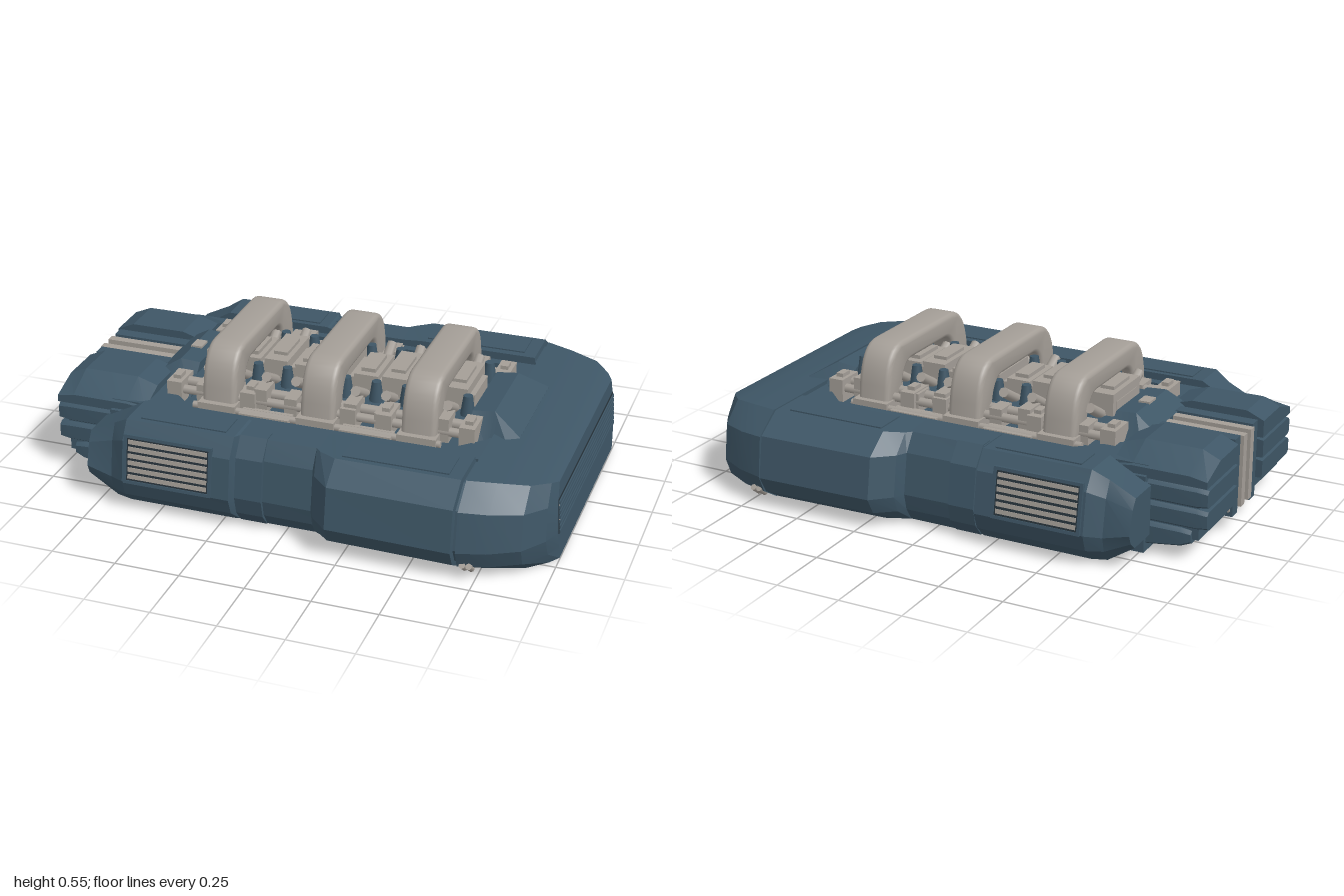
import * as THREE from 'three';
import { toCreasedNormals } from 'three/addons/utils/BufferGeometryUtils.js';

const mat = (name, color) => {
  const m = new THREE.MeshStandardMaterial({ color });
  m.name = name;
  return m;
};

// Skin a row of equal-length rings; rings run y -> z and advance along +x
function loft(rings) {
  const pos = [];
  const tri = (a, b, c) => pos.push(...a, ...b, ...c);
  const n = rings[0].length;
  for (let i = 0; i < rings.length - 1; i++) {
    for (let j = 0; j < n; j++) {
      const k = (j + 1) % n, a = rings[i], b = rings[i + 1];
      tri(a[j], a[k], b[k]);
      tri(a[j], b[k], b[j]);
    }
  }
  const first = rings[0], last = rings[rings.length - 1];
  for (let j = 1; j < n - 1; j++) {
    tri(first[0], first[j + 1], first[j]);
    tri(last[0], last[j], last[j + 1]);
  }
  const g = new THREE.BufferGeometry();
  g.setAttribute('position', new THREE.Float32BufferAttribute(pos, 3));
  return toCreasedNormals(g, 0.25);
}

// Ring from [z, y] points listed from the bottom outwards and up, on either side
const sideRing = (x, pts, s) => {
  const r = pts.map(([z, y]) => [x, y, z * s]);
  return s > 0 ? r.reverse() : r;
};

export function createModel() {
  const root = new THREE.Group();
  const blue = mat('blue armour', 0x3e5666);
  const grey = mat('warm grey metal', 0xa49e97);
  const dark = mat('dark recess', 0x28343c);

  const add = (name, geo, m, parent = root) => {
    const mesh = new THREE.Mesh(geo, m);
    mesh.name = name;
    parent.add(mesh);
    return mesh;
  };
  // Box given by its extents
  const box = (name, m, x0, x1, y0, y1, z0, z1, parent) => {
    const b = add(name, new THREE.BoxGeometry(x1 - x0, y1 - y0, Math.abs(z1 - z0)), m, parent);
    b.position.set((x0 + x1) / 2, (y0 + y1) / 2, (z0 + z1) / 2);
    return b;
  };

  // Central hull and the rim around the engine bay
  box('hull', blue, -0.77, 0.7, 0.005, 0.3, -0.435, 0.435);
  const rim = new THREE.Shape([[-0.77, -0.41], [0.7, -0.41], [0.7, 0.41], [-0.77, 0.41]]
    .map(p => new THREE.Vector2(...p)));
  rim.holes.push(new THREE.Path([[-0.6, -0.25], [-0.6, 0.25], [-0.46, 0.375], [0.54, 0.375],
    [0.67, 0.25], [0.67, -0.25], [0.54, -0.375], [-0.46, -0.375]].map(p => new THREE.Vector2(...p))));
  const rimGeo = new THREE.ExtrudeGeometry(rim, { depth: 0.04, bevelEnabled: false });
  rimGeo.rotateX(-Math.PI / 2);
  add('bayRim', rimGeo, blue).position.y = 0.295;

  // Nose, tapered in plan, its front face leaning back
  const noseRing = ([x, w, yb, yt, c, lean]) => [
    [-w + c, yb], [-w + 0.03, yb + 0.05], [-w, yb + 0.12], [-w + 0.02, yt - 0.075], [-w + c + 0.01, yt],
    [w - c - 0.01, yt], [w - 0.02, yt - 0.075], [w, yb + 0.12], [w - 0.03, yb + 0.05], [w - c, yb],
  ].map(([z, y]) => [x - lean * y, y, z]);
  add('nose', loft([
    [0.685, 0.72, 0, 0.35, 0.11, 0], [0.79, 0.69, 0, 0.343, 0.11, 0], [0.9, 0.63, 0, 0.332, 0.09, 0],
    [0.97, 0.535, 0, 0.32, 0.06, 0.03], [1, 0.475, 0.005, 0.312, 0.035, 0.06],
  ].map(noseRing)), blue);

  // Nose grille, leaning with the face
  const noseGrille = new THREE.Group();
  noseGrille.name = 'noseGrille';
  noseGrille.position.set(0.989, 0.18, 0);
  noseGrille.rotation.z = 0.06;
  root.add(noseGrille);
  box('noseGrilleRecess', dark, -0.004, 0.002, -0.07, 0.07, -0.452, 0.452, noseGrille);
  for (let i = 0; i < 7; i++) {
    const y = -0.067 + i * 0.0195;
    box('noseGrilleSlat', blue, -0.002, 0.007, y, y + 0.012, -0.45, 0.45, noseGrille);
    if (i === 2 || i === 5) box('noseGrilleStrip', grey, -0.002, 0.004, y + 0.014, y + 0.018, -0.45, 0.45, noseGrille);
  }

  for (const s of [1, -1]) {
    // Side pod with a near-straight underside, stepping in at its front end behind the nose
    const podRing = ([x, zo, yb, yt, zb, zt]) => sideRing(x, [
      [0.43, yb], [zb, yb], [zo - (zo - zb) * 0.3, yb + (yt - yb) * 0.15], [zo, yb + (yt - yb) * 0.34],
      [zo - 0.025, yb + (yt - yb) * 0.8], [zt, yt], [0.43, yt],
    ], s);
    add('sidePod', loft([
      [-0.79, 0.61, 0.08, 0.27, 0.56, 0.56], [-0.69, 0.615, 0.015, 0.32, 0.565, 0.56],
      [-0.63, 0.65, 0.01, 0.355, 0.575, 0.58], [-0.2, 0.655, 0.01, 0.355, 0.575, 0.58],
      [-0.19, 0.615, 0.01, 0.35, 0.57, 0.55], [0.11, 0.62, 0.01, 0.35, 0.57, 0.55],
      [0.13, 0.66, 0.01, 0.35, 0.58, 0.57], [0.2, 0.73, 0.01, 0.355, 0.61, 0.61],
      [0.67, 0.735, 0.005, 0.355, 0.615, 0.61],
      [0.673, 0.71, 0.015, 0.335, 0.6, 0.59], [0.7, 0.71, 0.015, 0.335, 0.6, 0.59],
    ].map(podRing)), blue);
    // Raised band on the waist and thin panels on the pod top
    const band = [[0.5, 0.008], [0.572, 0.008], [0.615, 0.06], [0.632, 0.13], [0.608, 0.285], [0.552, 0.354], [0.5, 0.354]];
    add('waistBand', loft([sideRing(-0.185, band, s), sideRing(-0.08, band, s)]), blue);
    box('podTopPanel', blue, -0.58, -0.24, 0.35, 0.36, s * 0.45, s * 0.56);
    box('podTopPanel', blue, 0.22, 0.62, 0.35, 0.36, s * 0.46, s * 0.59);

    // Pod grille, tilted with the wall
    const grille = new THREE.Group();
    grille.name = 'podGrille';
    grille.position.set(-0.445, 0.222, s * 0.638);
    grille.rotation.x = -s * 0.16;
    root.add(grille);
    box('grilleRecess', dark, -0.165, 0.165, -0.085, 0.085, -0.004, 0.003, grille);
    for (let i = 0; i < 6; i++) {
      const y = -0.076 + i * 0.0272;
      box('grilleSlat', grey, -0.158, 0.158, y, y + 0.0165, -0.007, 0.007, grille);
    }
    for (const e of [-1, 1]) {
      box('grilleFrame', blue, -0.175, 0.175, e * 0.09 - 0.006, e * 0.09 + 0.006, -0.008, 0.008, grille);
      box('grilleFrame', blue, e * 0.17 - 0.006, e * 0.17 + 0.006, -0.09, 0.09, -0.008, 0.008, grille);
    }

    // Small fittings below the nose seam
    for (const x of [0.705, 0.73]) {
      const bolt = add('noseFitting', new THREE.CylinderGeometry(0.012, 0.012, 0.05, 8), grey);
      bolt.position.set(x, 0.045, s * 0.675);
      bolt.rotation.x = s * 0.9;
    }

    // Layered rear block with shallow grooves; the top layer slopes down outwards
    box('rearCore', blue, -0.965, -0.66, 0.08, 0.33, s * 0.135, s * 0.4);
    [[0.025, 0.12, -0.94], [0.126, 0.202, -1], [0.208, 0.284, -1]].forEach(([y0, y1, x0], i) => {
      const slab = (x, d, low) => sideRing(x, [
        [0.13, y0 + low], [0.405 - d, y0 + low], [0.42 - d, y0 + low + 0.01],
        [0.42 - d, y1 - d - 0.012], [0.405 - d, y1 - d], [0.13, y1 - d],
      ], s);
      add('rearSlab', loft([slab(x0, 0.006, i ? 0.003 : 0.04), slab(x0 + 0.04, 0, i ? 0 : 0.025),
        slab(-0.72, 0, 0), slab(-0.64, 0, 0)]), blue);
    });
    const topSlab = (x, d) => sideRing(x, [
      [0.13, 0.29], [0.42, 0.29], [0.42, 0.328 - d * 0.4], [0.3, 0.387 - d], [0.13, 0.387 - d],
    ], s);
    add('rearTopSlab', loft([topSlab(-0.998, 0.03), topSlab(-0.93, 0), topSlab(-0.71, 0), topSlab(-0.63, 0.025)]), blue);
    // Rails beside the rear slot
    box('rearRailBlue', blue, -0.98, -0.66, 0.06, 0.365, s * 0.062, s * 0.112);
    box('rearRailGrey', grey, -0.99, -0.68, 0.08, 0.36, s * 0.018, s * 0.052);
    box('rearRailGreyOuter', grey, -0.97, -0.68, 0.08, 0.345, s * 0.112, s * 0.122);
    box('rearRailBack', blue, -0.95, -0.66, 0.07, 0.335, s * 0.05, s * 0.135);
  }

  // Sloped covers at both ends of the engine
  const hump = (x, w, y) => [[x, 0.3, -w - 0.1], [x, y, -w], [x, y, w], [x, 0.3, w + 0.1]];
  add('frontCover', loft([hump(0.585, 0.17, 0.4), hump(0.67, 0.17, 0.41), hump(0.78, 0.22, 0.345)]), blue);
  add('rearCover', loft([hump(-0.68, 0.16, 0.36), hump(-0.6, 0.14, 0.41), hump(-0.52, 0.14, 0.405)]), blue);
  box('rearCoverLatch', grey, -0.605, -0.56, 0.4, 0.416, -0.03, 0.03);

  // Engine block with stepped segments
  box('engineBase', blue, -0.54, 0.58, 0.29, 0.37, -0.2, 0.2);
  box('engineCore', grey, -0.5, 0.57, 0.34, 0.42, -0.09, 0.09);
  for (let i = 0; i < 9; i++) {
    const x = -0.45 + i * 0.119, big = i % 2 === 0;
    box('engineSegment', grey, x - 0.048, x + 0.048, 0.34, big ? 0.455 : 0.44, big ? -0.12 : -0.1, big ? 0.12 : 0.1);
    box('engineSegmentCap', grey, x - 0.028, x + 0.028, 0.43, big ? 0.468 : 0.455, -0.07, 0.07);
    for (const s of [1, -1]) {
      // Tapered plugs, pipes and clamps along the block
      const plug = add('enginePlug', new THREE.CylinderGeometry(0.018, 0.034, 0.11, 8), blue);
      plug.position.set(x + 0.059, 0.393, s * 0.15);
      const pipe = add('enginePipe', new THREE.CylinderGeometry(0.02, 0.02, 0.14, 8), grey);
      pipe.position.set(x, 0.395, s * 0.16);
      pipe.rotation.x = s * 1.05;
      box('railClamp', grey, x - 0.025, x + 0.025, 0.31, 0.385 + (i % 3) * 0.01, s * 0.2, s * 0.285);
    }
  }

  // Rails along both sides of the engine
  for (const s of [1, -1]) {
    for (const [z, y, r, len] of [[0.222, 0.362, 0.02, 1.2], [0.27, 0.35, 0.018, 1.22], [0.325, 0.322, 0.014, 0.98]]) {
      const rail = add('sideRail', new THREE.CylinderGeometry(r, r, len, 8), grey);
      rail.rotation.z = Math.PI / 2;
      rail.position.set(0.02, y, s * z);
    }
    for (const x of [-0.56, -0.26, 0.14, 0.28, 0.6]) {
      box('railBracket', grey, x - 0.03, x + 0.03, 0.3, 0.39, s * 0.185, s * 0.3);
      box('railBracketCap', grey, x - 0.015, x + 0.015, 0.38, 0.405, s * 0.22, s * 0.27);
    }
    // Plates between the arch feet
    for (const x of [-0.175, 0.225]) box('outerPlate', grey, x - 0.1, x + 0.1, 0.3, 0.33, s * 0.295, s * 0.355);
  }

  // Three arched ducts across the engine
  const arch = new THREE.Shape();
  arch.moveTo(-0.325, 0.3);
  arch.lineTo(-0.315, 0.4);
  arch.bezierCurveTo(-0.3, 0.5, -0.26, 0.553, -0.19, 0.553);
  arch.lineTo(0.19, 0.553);
  arch.bezierCurveTo(0.26, 0.553, 0.3, 0.5, 0.315, 0.4);
  arch.lineTo(0.325, 0.3);
  arch.lineTo(0.225, 0.3);
  arch.lineTo(0.2, 0.4);
  arch.quadraticCurveTo(0.18, 0.465, 0.13, 0.465);
  arch.lineTo(-0.13, 0.465);
  arch.quadraticCurveTo(-0.18, 0.465, -0.2, 0.4);
  arch.lineTo(-0.225, 0.3);
  arch.closePath();
  const archGeo = new THREE.ExtrudeGeometry(arch, {
    depth: 0.095, bevelThickness: 0.02, bevelSize: 0.018, bevelOffset: -0.018, bevelSegments: 3, curveSegments: 8,
  });
  archGeo.translate(0, 0, -0.0475);
  archGeo.rotateY(Math.PI / 2);
  const smoothArch = toCreasedNormals(archGeo, 0.7);
  for (const x of [-0.37, 0.025, 0.42]) {
    add('archDuct', smoothArch, grey).position.x = x;
    for (const s of [1, -1]) box('archFoot', grey, x - 0.075, x + 0.075, 0.3, 0.345, s * 0.215, s * 0.345);
  }
  return root;
}
